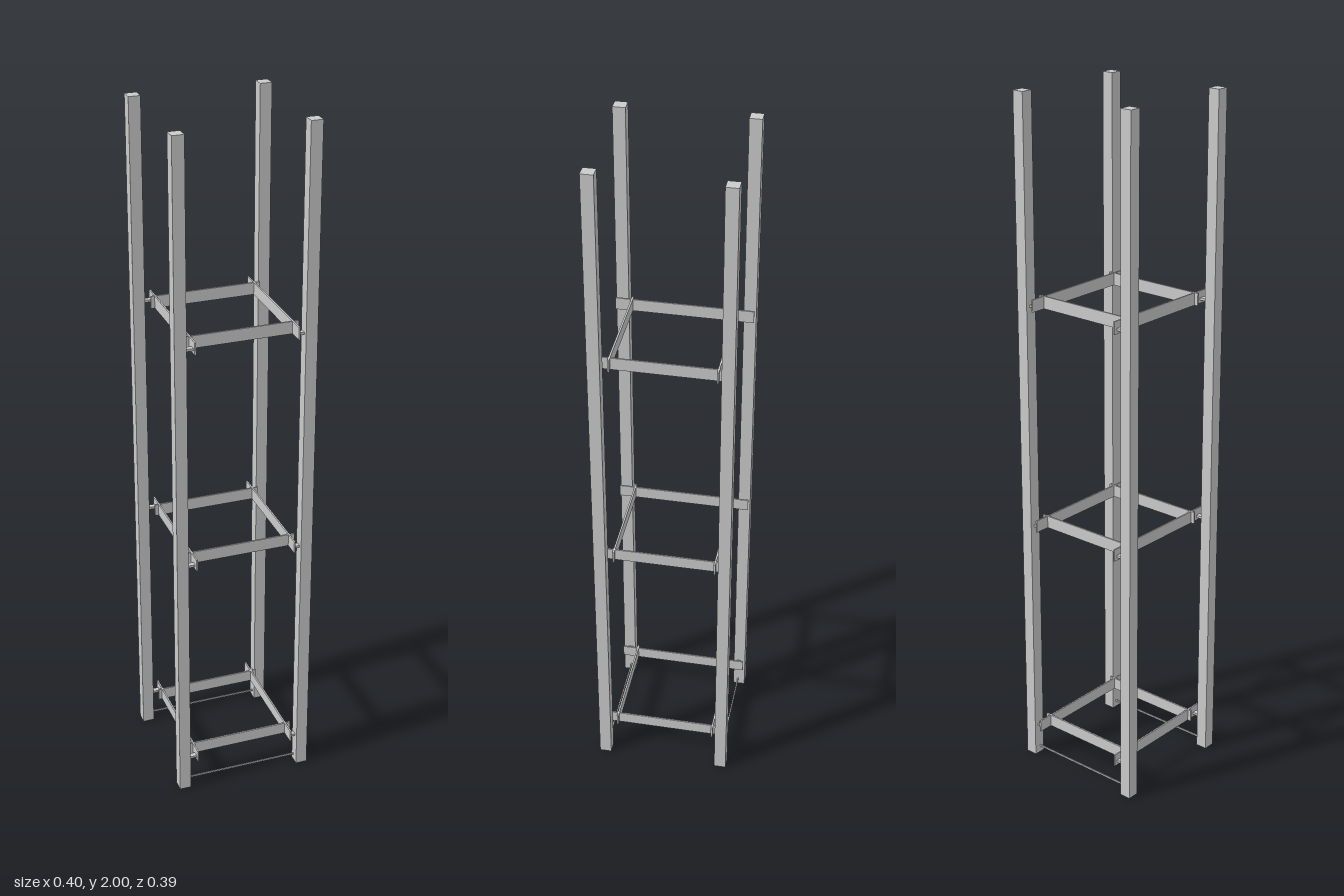
import * as THREE from 'three';

export function createModel() {
  const model = new THREE.Group();
  model.name = 'shelfFrame';
  const material = new THREE.MeshStandardMaterial({ color: 0xcccccc, flatShading: true });

  // Box given by its lowest and highest corner, added to a parent group
  function box(parent, name, [x0, y0, z0], [x1, y1, z1]) {
    const mesh = new THREE.Mesh(new THREE.BoxGeometry(x1 - x0, y1 - y0, z1 - z0), material);
    mesh.position.set((x0 + x1) / 2, (y0 + y1) / 2, (z0 + z1) / 2);
    mesh.name = name;
    parent.add(mesh);
  }

  // Four corner posts
  for (const x of [-0.185, 0.185]) {
    for (const z of [-0.179, 0.179]) {
      box(model, 'post', [x - 0.017, 0, z - 0.0175], [x + 0.017, 2, z + 0.0175]);
    }
  }

  // Thin tie bars between the feet, front and back
  for (const z of [-0.176, 0.175]) {
    box(model, 'tieBar', [-0.17, 0.019, z - 0.0018], [0.17, 0.024, z + 0.0018]);
  }

  // Three open shelf frames
  for (const top of [0.121, 0.778, 1.437]) {
    const shelf = new THREE.Group();
    shelf.name = 'shelf';
    model.add(shelf);
    const low = top - 0.036;

    // Cross rails, front and back
    for (const z of [-0.146, 0.147]) {
      box(shelf, 'crossRail', [-0.156, low, z - 0.0025], [0.166, top, z + 0.0025]);
    }
    // Side rails with a small flat bracket to each post
    for (const x of [-0.143, 0.15]) {
      box(shelf, 'sideRail', [x - 0.0022, low, -0.194], [x + 0.0022, top, 0.194]);
      const [x0, x1] = x < 0 ? [-0.169, x] : [x, 0.169];
      for (const z of [-0.177, 0.177]) {
        box(shelf, 'bracket', [x0, low + 0.009, z - 0.0075], [x1, low + 0.016, z + 0.0075]);
      }
    }
  }
  return model;
}
